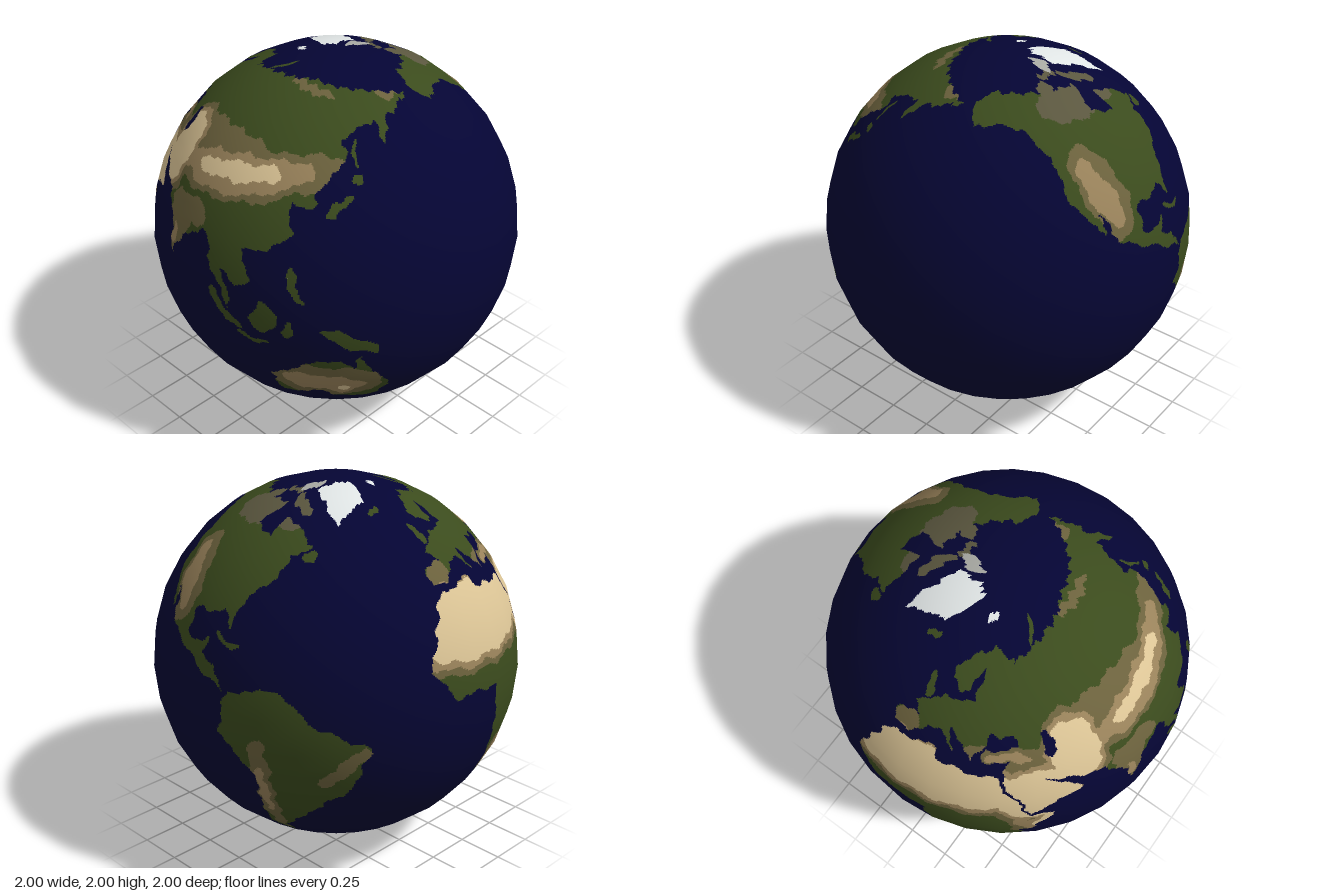
import * as THREE from 'three';

const PALETTE = {
  ocean: 0x050534, forest: 0x3b4b1d, steppe: 0x6c623d, highland: 0x9a835b,
  desert: 0xdcc596, tundra: 0x5b573f, bareRock: 0xa9aaa4, ice: 0xe4e9e9, polarIce: 0x8c8c8c,
};
const LEVELS = ['forest', 'steppe', 'highland', 'desert'];

// Coarse continent outlines as longitude, latitude in degrees
const AFRICA = [-6, 35, 10, 37, 12, 33, 32, 31, 43, 12, 51, 12, 40, -3, 40, -15, 35, -22, 27, -34, 19, -34, 12, -17, 9, 4, -8, 4.5,
  -17, 14, -10, 31];
const EURASIA = [-9, 43, -9, 37, -2, 37, 4, 43, 11, 43, 16, 38, 13, 45, 19, 42, 23, 36.5, 26, 40.5, 30, 46, 38, 46, 41, 41.5, 27, 41,
  27, 37, 36, 36.5, 34, 30, 43.5, 13, 60, 22, 56, 25, 48, 30, 57, 27, 67, 25, 73, 20, 77.5, 8, 80.5, 15, 91, 22, 98, 8, 103.5, 1.5,
  100, 13, 105, 9, 109, 12, 106, 20, 114, 22, 121.5, 28, 119, 36, 126, 35, 129, 36, 128, 40, 141, 50, 137, 54.5, 156, 60,
  157, 51, 164, 60, 188, 65, 160, 70, 112, 75, 70, 72, 44, 68, 40, 65, 41, 67, 26, 71, 13, 67, 5, 62, 6, 58.5, 12, 57, 17, 58,
  18, 61, 23, 65.5, 22, 61, 20, 54.5, 9, 54, -4, 48, -1, 44];
const NORTH_AMERICA = [-166, 66, -160, 58, -150, 60, -135, 58, -124, 48, -121, 35, -110, 23, -113, 31, -105, 20, -95, 15.5, -80, 7.5,
  -83, 15, -88, 16, -87, 21, -91, 19, -97, 21, -96, 28, -83, 30, -80.5, 25, -76, 35, -65, 45, -65, 49, -56, 52, -66, 60, -77, 62,
  -78, 54, -92, 58, -84, 68, -125, 70, -156, 71];
const SOUTH_AMERICA = [-78, 8, -62, 10.5, -50, 1, -35, -6, -40, -20, -49, -28, -58, -37, -66, -45, -67, -55, -74, -50, -70, -18, -81, -5];
const AUSTRALIA = [114, -22, 115, -34.5, 130, -31.5, 141, -38.5, 150, -37.5, 153, -27, 146, -19, 142.5, -11, 140, -17.5, 136, -12,
  130, -13, 122, -18];
const GREENLAND = [-70, 77, -54, 70, -44, 60, -38, 65, -22, 70, -14, 82, -45, 83];
const ANTARCTICA = [0, -70, 50, -67, 135, -66, 170, -75, 210, -77, 255, -73, 288, -72, 300, -64, 300, -74, 325, -77, 360, -70,
  360, -95, 0, -95];

// Tilted ovals: longitude, latitude, half width, half height, tilt
const ISLANDS = [
  [139, -5, 9, 2.4, -25], [114, 1, 3.6, 4.6, -25], [101, -.5, 7.5, 1.5, -47], [110, -7.4, 4.5, .8, -6], [121, -2, 1.3, 3.2, 0],
  [123, 12.5, 1.4, 5.5, 20], [136, 35.5, 6, 1.2, 38], [143, 43.3, 2, 1.4, 0], [143, 50, .8, 4, 0], [47, -19, 2, 6.5, -15],
  [173, -41, 6.5, .8, 45], [-2, 54, 2, 4, 15], [-19, 65, 4, 1.3, 0], [-79, 21.5, 5, .8, -15], [60, 74, 7, 1.2, 35], [-56, 48.7, 3, 2, 0],
];
const TUNDRA_ISLANDS = [[-73, 69, 12, 2.5, -20], [-110, 71, 7, 2, 0], [-95, 75, 12, 1.2, 0]];
const ROCK_ISLAND = [-80, 79.5, 13, 3, 10];
const ICE_ISLAND = [17, 78.5, 6, 1.5, 0];
const INLAND_SEA = [51, 42, 2, 5, 15];
const TUNDRA_PLAIN = [-89, 64, 34, 7, 0];

// Dry country by level; each oval is ringed by narrow bands of the lower levels
const DRY_LAND = [
  [],
  [[78, 17, 6, 9, 0], [81, 24.5, 10, 3.5, 0], [-43, -13, 9.5, 2.6, 42], [-4, 40, 5, 4, 0], [80, 46.5, 28, 5, 0], [112, 71, 22, 1.6, -6],
    [175, 67, 9, 2, 0], [-69, -44, 2, 7, 0], [23, -25, 9, 8, 0], [46, -21, 1, 4, -15], [132, -25, 18, 9, -5], [-108, 37, 8, 14, 22]],
  [[21, -25, 4, 5, 0], [131, -25.5, 13.5, 5, -8], [-109, 36, 4.5, 11, 25], [-68.5, -25, 1.7, 10, 0], [36, 38.5, 8, 1.5, 0],
    [94, 39.3, 21, 6, 8], [40, 7, 2, 5, 0], [77, 14, 1.3, 3, 0]],
  [[9, 25, 29, 11, 0], [46, 22, 13, 11, 0], [60, 36, 9, 11, 0], [96, 40.3, 19, 2.8, 8], [48, 7.5, 2.5, 6, -38], [138, -28.5, 1.8, 2, 0]],
];

const FACET = 11.25, STEP = FACET / 24, BAND = 1.8, RAD = Math.PI / 180;

function insideOutline(p, lon, lat) {
  let inside = false;
  for (let i = 0, j = p.length - 2; i < p.length; j = i, i += 2) {
    const crosses = (p[i + 1] > lat) !== (p[j + 1] > lat);
    if (crosses && lon < (p[j] - p[i]) * (lat - p[i + 1]) / (p[j + 1] - p[i + 1]) + p[i]) inside = !inside;
  }
  return inside;
}
const inLand = (p, lon, lat) => insideOutline(p, lon, lat) || insideOutline(p, lon + 360, lat);

// Degrees beyond the rim of a squarish oval; negative inside
function beyondOval([x, y, rx, ry, tilt], lon, lat) {
  const dx = (lon - x + 540) % 360 - 180, dy = lat - y;
  const c = Math.cos(tilt * RAD), s = Math.sin(tilt * RAD);
  const d = Math.hypot(Math.abs((dx * c + dy * s) / rx) ** 1.3, Math.abs((dy * c - dx * s) / ry) ** 1.3) ** (1 / 1.3);
  return (d - 1) * Math.min(rx, ry);
}

function dryness(lon, lat) {
  let best = 0;
  DRY_LAND.forEach((ovals, level) => {
    for (const oval of ovals) best = Math.max(best, level - Math.ceil(Math.max(0, beyondOval(oval, lon, lat)) / BAND));
  });
  return LEVELS[best];
}

function colourAt(trueLon, trueLat) {
  // Gentle waves roughen every coast and border
  const lon = trueLon + 0.6 * Math.sin(trueLat * 0.7 + trueLon * 0.25) + 0.3 * Math.sin(trueLat * 1.4 - trueLon * 0.8);
  const lat = trueLat + 0.6 * Math.sin(trueLon * 0.45 - trueLat * 0.3) + 0.3 * Math.sin(trueLon * 1.1 + trueLat * 0.9);
  const land = (p) => inLand(p, lon, lat), oval = (o) => beyondOval(o, lon, lat) < 0;
  if (land(ANTARCTICA)) return 'polarIce';
  if (land(GREENLAND) || oval(ICE_ISLAND)) return 'ice';
  if (oval(ROCK_ISLAND)) return 'bareRock';
  if (TUNDRA_ISLANDS.some(oval)) return 'tundra';
  if (land(NORTH_AMERICA) && oval(TUNDRA_PLAIN)) return 'tundra';
  if (oval(INLAND_SEA)) return 'ocean';
  const dry = [AFRICA, EURASIA, NORTH_AMERICA, SOUTH_AMERICA, AUSTRALIA].some(land) || ISLANDS.some(oval);
  return dry ? dryness(lon, lat) : 'ocean';
}

function onSphere(lon, lat) {
  const c = Math.cos(lat * RAD);
  return new THREE.Vector3(-c * Math.cos(lon * RAD), Math.sin(lat * RAD), c * Math.sin(lon * RAD));
}

// Point on the flat facet that holds this longitude and latitude
function onFacet(lon, lat, west, south) {
  const u = (lon - west) / FACET, v = (lat - south) / FACET;
  const low = onSphere(west, south).lerp(onSphere(west + FACET, south), u);
  const high = onSphere(west, south + FACET).lerp(onSphere(west + FACET, south + FACET), u);
  return low.lerp(high, v);
}

export function createModel() {
  const surfaces = {};
  for (const name in PALETTE) surfaces[name] = { position: [], normal: [] };

  // Each facet is cut into thin rows; neighbours of one colour share a strip
  const addStrip = (name, a, b, lat, west, south) => {
    const corners = [[a, lat], [b, lat], [b, lat + STEP], [a, lat + STEP]];
    for (const i of [0, 1, 2, 0, 2, 3]) {
      const p = onFacet(...corners[i], west, south);
      surfaces[name].position.push(p.x, p.y + 1, p.z);
      surfaces[name].normal.push(...onSphere(...corners[i]).toArray());
    }
  };
  for (let south = -90; south < 90; south += FACET) {
    for (let west = -180; west < 180; west += FACET) {
      for (let lat = south; lat < south + FACET; lat += STEP) {
        let start = west, current = colourAt(west + STEP / 2, lat + STEP / 2);
        for (let lon = west + STEP; lon <= west + FACET; lon += STEP) {
          const next = lon < west + FACET ? colourAt(lon + STEP / 2, lat + STEP / 2) : null;
          if (next === current) continue;
          addStrip(current, start, lon, lat, west, south);
          start = lon;
          current = next;
        }
      }
    }
  }

  const globe = new THREE.Group();
  globe.name = 'globe';
  for (const [name, { position, normal }] of Object.entries(surfaces)) {
    const geometry = new THREE.BufferGeometry();
    geometry.setAttribute('position', new THREE.Float32BufferAttribute(position, 3));
    geometry.setAttribute('normal', new THREE.Float32BufferAttribute(normal, 3));
    const material = new THREE.MeshStandardMaterial({ color: PALETTE[name] });
    material.name = name;
    const mesh = new THREE.Mesh(geometry, material);
    mesh.name = name;
    globe.add(mesh);
  }
  return globe;
}
